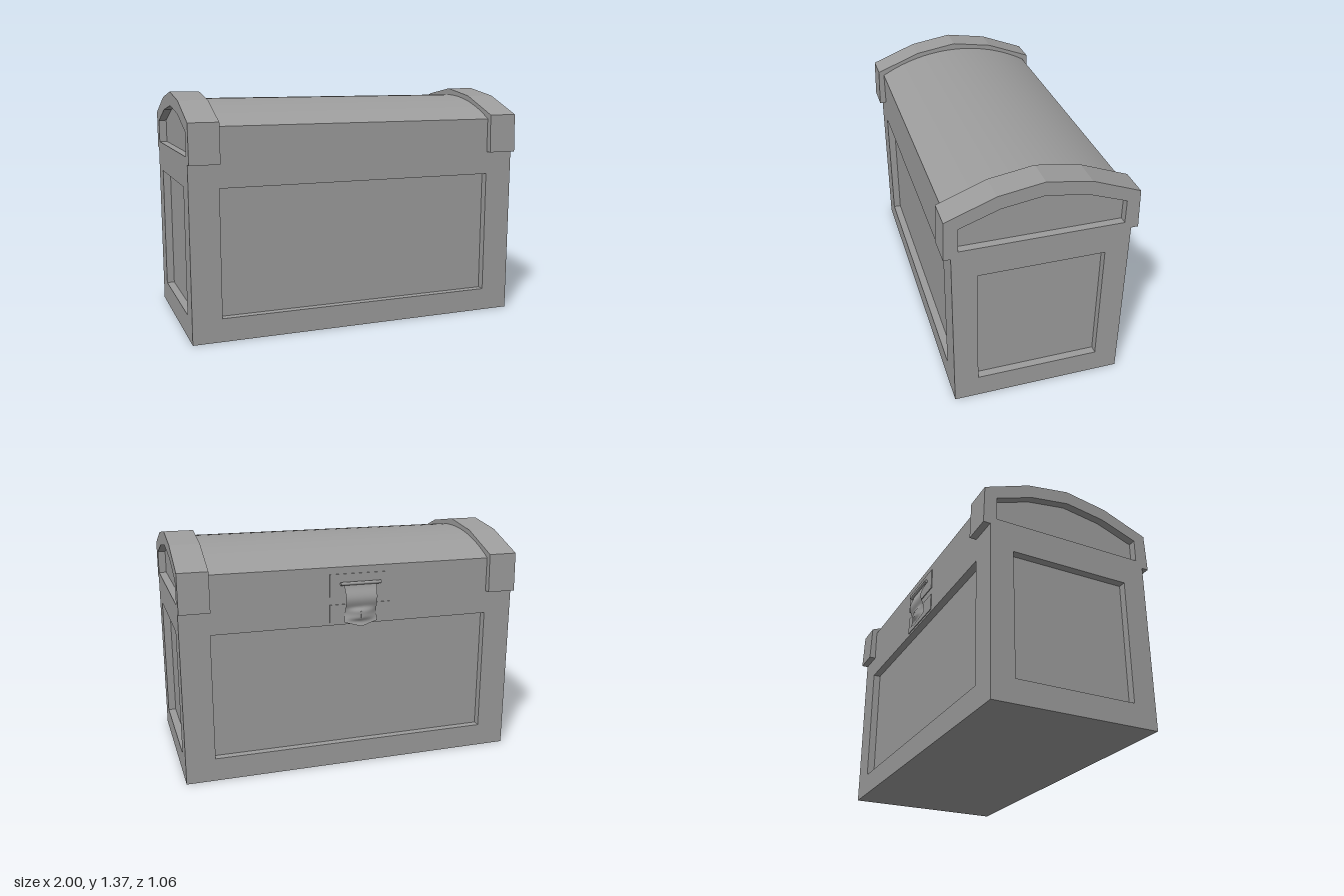
import * as THREE from 'three';
import { toCreasedNormals } from 'three/addons/utils/BufferGeometryUtils.js';

const grey = new THREE.MeshStandardMaterial({ color: 0x9c9c9c });
const thin = new THREE.MeshStandardMaterial({ color: 0x9c9c9c, side: THREE.DoubleSide });
const RECESS = 0.045;

function add(parent, name, geometry, x = 0, y = 0, z = 0, material = grey) {
  const mesh = new THREE.Mesh(geometry, material);
  mesh.name = name;
  mesh.position.set(x, y, z);
  parent.add(mesh);
}

const polygon = pts => pts.map(([a, b]) => new THREE.Vector2(a, b));
const rect = (w, y0, y1) => polygon([[-w, y0], [w, y0], [w, y1], [-w, y1]]);

// Box turned inside out with its outer face left open: the lining of a sunken panel
function pocket(w, h, d) {
  const box = new THREE.BoxGeometry(w, h, d);
  const index = Array.from(box.index.array);
  index.splice(24, 6);
  box.setIndex(index.reverse());
  box.computeVertexNormals();
  return box;
}

// Upright wall with a sunken rectangular panel, facing +z before it is turned
function panelledWall(parent, name, halfWidth, halfPanel, distance, angle) {
  const wall = new THREE.Group();
  wall.name = name;
  const y0 = 0.135, y1 = 0.865;
  const shape = new THREE.Shape(rect(halfWidth, 0, 1));
  shape.holes.push(new THREE.Path(rect(halfPanel, y0, y1)));
  add(wall, name + 'Frame', new THREE.ShapeGeometry(shape), 0, 0, distance);
  add(wall, name + 'Panel', pocket(halfPanel * 2, y1 - y0, RECESS), 0, (y0 + y1) / 2, distance - RECESS / 2);
  wall.rotation.y = angle;
  parent.add(wall);
}

// Profile across the chest (z, y) swept along x
function sweep(shape, length) {
  const g = new THREE.ExtrudeGeometry(shape, { depth: length, bevelEnabled: false });
  return toCreasedNormals(g.rotateY(Math.PI / 2), 0.15);
}

// Mirror half a profile (z >= 0, from the bottom up to the ridge)
const mirrored = half => polygon([...half, ...half.slice(0, -1).reverse().map(([z, y]) => [-z, y])]);

function makeBody() {
  const body = new THREE.Group();
  body.name = 'body';
  panelledWall(body, 'frontWall', 1, 0.83, 0.49, 0);
  panelledWall(body, 'backWall', 1, 0.83, 0.49, Math.PI);
  panelledWall(body, 'leftWall', 0.49, 0.353, 1, Math.PI / 2);
  panelledWall(body, 'rightWall', 0.49, 0.353, 1, -Math.PI / 2);
  add(body, 'bottom', new THREE.PlaneGeometry(2, 0.98).rotateX(Math.PI / 2));
  add(body, 'rim', new THREE.PlaneGeometry(2, 0.98).rotateX(-Math.PI / 2), 0, 1, 0);
  return body;
}

function makeLid() {
  const lid = new THREE.Group();
  lid.name = 'lid';

  // Smooth shallow barrel
  const R = 0.988, sweepAngle = Math.asin(0.49 / R), half = [[0.49, 1]];
  for (let i = 0; i <= 12; i++) {
    const a = sweepAngle * (1 - i / 12);
    half.push([R * Math.sin(a), 1.33 - R + R * Math.cos(a)]);
  }
  add(lid, 'barrel', sweep(new THREE.Shape(mirrored(half)), 1.66), -0.83);

  // Faceted end caps with sunken end panels
  const outline = mirrored([[0.53, 1], [0.522, 1.225], [0.25, 1.33], [0, 1.37]]);
  const inset = mirrored([[0.45, 1.04], [0.45, 1.175], [0.23, 1.255], [0, 1.29]]);
  for (const [side, angle] of [['left', 0], ['right', Math.PI]]) {
    const cap = new THREE.Group();
    cap.name = side + 'EndCap';
    const frame = new THREE.Shape(outline);
    frame.holes.push(new THREE.Path(inset));
    add(cap, 'capFrame', sweep(frame, 0.17), 0.83);
    add(cap, 'capPanel', sweep(new THREE.Shape(inset), 0.17 - RECESS), 0.83);
    cap.rotation.y = angle;
    lid.add(cap);
  }
  return lid;
}

// Curved hasp: a sheet with a pointed lower edge, waved along y and swollen at the keyhole
function haspGeometry() {
  const g = new THREE.PlaneGeometry(2, 1, 12, 32);
  const p = g.attributes.position;
  for (let i = 0; i < p.count; i++) {
    const u = p.getX(i), t = 0.5 - p.getY(i);
    const bottom = 0.855 + 0.028 * Math.abs(u);
    const y = 1.11 + (bottom - 1.11) * t;
    const width = 0.1 - 0.008 * Math.sin(t * Math.PI);
    const wave = 0.514 - 0.012 * Math.cos((y - 0.925) * Math.PI / 0.09);
    const swell = 0.026 * Math.exp(-(((y - 0.925) / 0.034) ** 4)) * Math.cos(u * Math.PI / 2);
    p.setXYZ(i, u * width, y, wave + swell);
  }
  g.computeVertexNormals();
  return g;
}

function makeClasp() {
  const clasp = new THREE.Group();
  clasp.name = 'clasp';
  add(clasp, 'upperPlate', new THREE.BoxGeometry(0.36, 0.13, 0.01), 0, 1.095, 0.49);
  add(clasp, 'lowerPlate', new THREE.BoxGeometry(0.36, 0.105, 0.01), 0, 0.932, 0.49);
  add(clasp, 'hingePin', new THREE.CylinderGeometry(0.01, 0.01, 0.24, 12).rotateZ(Math.PI / 2), 0, 1.105, 0.505);
  add(clasp, 'hasp', haspGeometry(), 0, 0, 0, thin);
  // Keyhole
  add(clasp, 'keyholeTop', new THREE.CylinderGeometry(0.009, 0.009, 0.006, 12).rotateX(Math.PI / 2), 0, 0.937, 0.5265);
  add(clasp, 'keyholeSlot', new THREE.BoxGeometry(0.008, 0.028, 0.006), 0, 0.92, 0.5265);
  clasp.position.x = -0.03;
  clasp.rotation.y = Math.PI;
  return clasp;
}

export function createModel() {
  const chest = new THREE.Group();
  chest.name = 'chest';
  chest.add(makeBody(), makeLid(), makeClasp());
  return chest;
}
